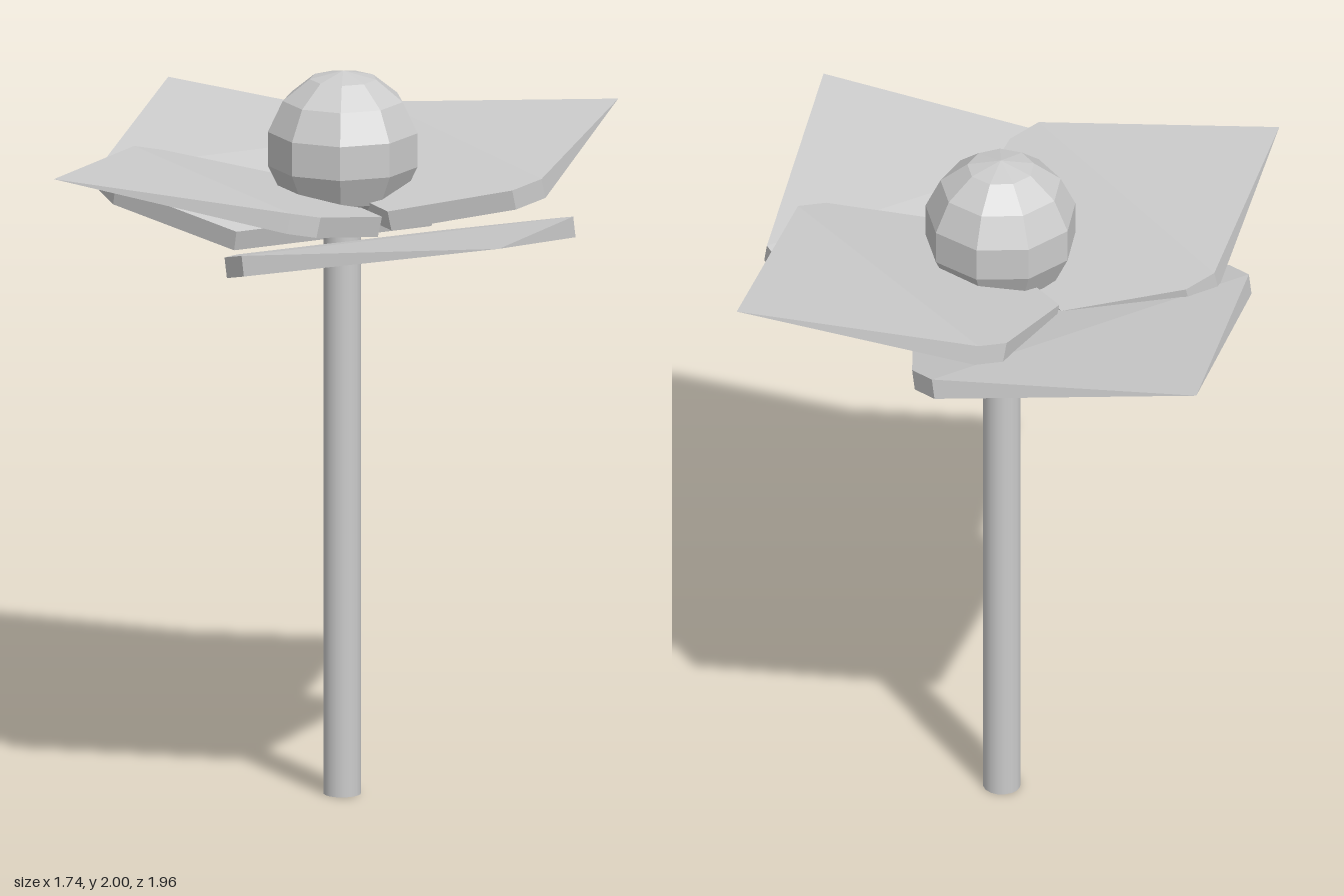
import * as THREE from 'three';
import { ConvexGeometry } from 'three/addons/geometries/ConvexGeometry.js';

const material = new THREE.MeshStandardMaterial({ color: 0xcccccc, flatShading: true });
const stemMaterial = new THREE.MeshStandardMaterial({ color: 0xcccccc });

// Petal slab lying along +z: even thickness up to the wide corners, then tapering to a point
function petalGeometry(scale) {
  const thickness = 0.056;
  const outline = [[0.3, 0], [0.5, 0.33], [0.5, 0.435]]; // half width, distance outward
  const points = [new THREE.Vector3(0, 0, 0.985 * scale)];
  for (const [w, d] of outline) {
    for (const side of [-1, 1]) {
      for (const y of [0, thickness]) {
        points.push(new THREE.Vector3(side * w * scale, y, d * scale));
      }
    }
  }
  return new ConvexGeometry(points);
}

export function createModel() {
  const group = new THREE.Group();

  // Stem
  const stem = new THREE.Mesh(new THREE.CylinderGeometry(0.051, 0.051, 1.59, 16), stemMaterial);
  stem.name = 'stem';
  stem.position.set(0.005, 0.795, 0);
  group.add(stem);

  // Faceted round flower centre
  const centre = new THREE.Mesh(new THREE.SphereGeometry(0.21, 9, 7), material);
  centre.name = 'flowerCentre';
  centre.position.set(0.008, 1.79, 0);
  centre.rotation.y = Math.PI;
  group.add(centre);

  // Petals: name, scale, position of the inner edge, yaw, upward tilt, roll
  const petals = [
    ['frontPetal', 1, [-0.02, 1.476, 0.03], -0.015, 0.252, 0],
    ['backPetal', 1, [-0.013, 1.534, -0.02], Math.PI, 0.249, 0],
    ['leftPetal', 0.885, [0.012, 1.619, -0.01], Math.PI / 2 + 0.025, 0.233, 0.033],
    ['rightPetal', 0.885, [-0.03, 1.6, 0], -Math.PI / 2 + 0.015, 0.233, 0],
  ];
  for (const [name, scale, position, yaw, tilt, roll] of petals) {
    const petal = new THREE.Mesh(petalGeometry(scale), material);
    petal.name = name;
    petal.position.set(...position);
    petal.rotation.set(-tilt, yaw, roll, 'YXZ');
    group.add(petal);
  }

  return group;
}
